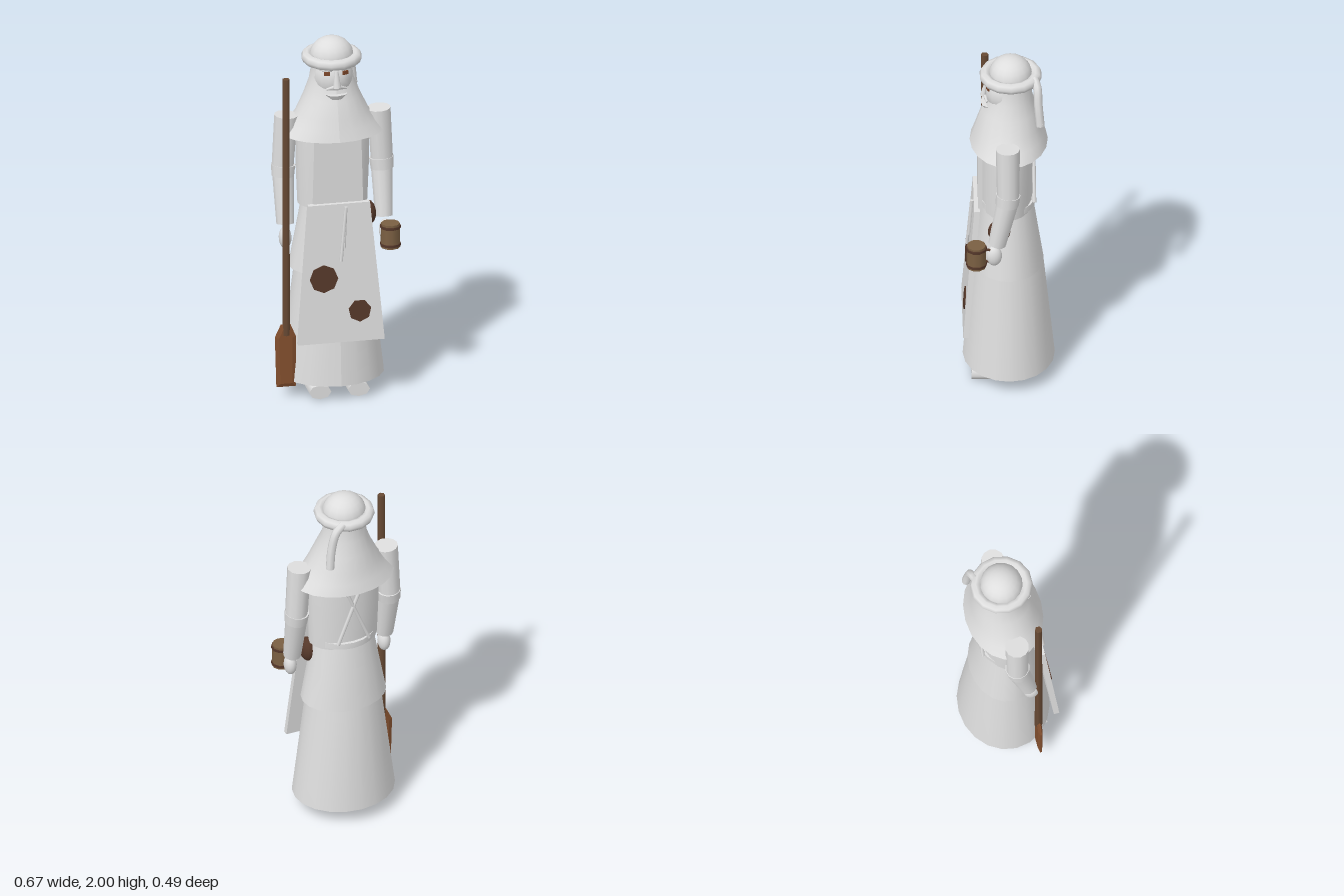
import * as THREE from 'three';

const mat = (name, color) => {
  const m = new THREE.MeshStandardMaterial({ color });
  m.name = name;
  return m;
};

export function createModel() {
  const model = new THREE.Group();
  const cloth = mat('pale cloth', 0xdedede);
  const stain = mat('dark brown', 0x55382a);
  const pole = mat('pole wood', 0x684a34);
  const bladeWood = mat('red brown wood', 0x84502f);
  const mugWood = mat('mug wood', 0x7a5f42);
  const eye = mat('eye brown', 0x7a4528);

  const add = (name, geo, material, x = 0, y = 0, z = 0) => {
    const m = new THREE.Mesh(geo, material);
    m.name = name;
    m.position.set(x, y, z);
    model.add(m);
    return m;
  };
  // Cylinder running from point a to point b
  const rod = (name, a, b, ra, rb, material = cloth, sides = 10) => {
    const p = new THREE.Vector3(...a), q = new THREE.Vector3(...b);
    const d = q.clone().sub(p);
    const m = add(name, new THREE.CylinderGeometry(rb, ra, d.length(), sides), material);
    m.position.copy(p).add(q).multiplyScalar(0.5);
    m.quaternion.setFromUnitVectors(new THREE.Vector3(0, 1, 0), d.normalize());
    return m;
  };
  const ball = (name, material, x, y, z, rx, ry, rz) => {
    const m = add(name, new THREE.SphereGeometry(1, 16, 12), material, x, y, z);
    m.scale.set(rx, ry, rz);
    return m;
  };
  // Closed elliptical loft through rings of [y, half width, half depth, z centre]
  const loft = (name, rings, material = cloth, sides = 20) => {
    const pos = [], idx = [];
    for (const [y, rx, rz, cz = 0] of rings)
      for (let i = 0; i <= sides; i++) {
        const t = (i / sides) * Math.PI * 2;
        pos.push(Math.sin(t) * rx, y, cz + Math.cos(t) * rz);
      }
    const w = sides + 1;
    for (let r = 0; r < rings.length - 1; r++)
      for (let i = 0; i < sides; i++) {
        const a = r * w + i, b = a + w;
        idx.push(a, a + 1, b + 1, a, b + 1, b);
      }
    // End caps with their own corners
    for (const r of [0, rings.length - 1]) {
      const [y, rx, rz, cz = 0] = rings[r], c = pos.length / 3;
      pos.push(0, y, cz);
      for (let i = 0; i <= sides; i++) {
        const t = (i / sides) * Math.PI * 2;
        pos.push(Math.sin(t) * rx, y, cz + Math.cos(t) * rz);
      }
      for (let i = 1; i <= sides; i++) idx.push(c, ...(r ? [c + i, c + i + 1] : [c + i + 1, c + i]));
    }
    const g = new THREE.BufferGeometry();
    g.setAttribute('position', new THREE.Float32BufferAttribute(pos, 3));
    g.setIndex(idx);
    g.computeVertexNormals();
    return add(name, g, material);
  };
  // Flat sheet whose width and z change from bottom to top
  const sheet = (name, y0, y1, w0, w1, z0, z1, depth) => {
    const g = new THREE.BoxGeometry(1, 1, depth).toNonIndexed();
    const p = g.attributes.position;
    for (let i = 0; i < p.count; i++) {
      const t = p.getY(i) + 0.5;
      p.setXYZ(i, p.getX(i) * (w0 + (w1 - w0) * t), y0 + (y1 - y0) * t, p.getZ(i) + z0 + (z1 - z0) * t);
    }
    g.computeVertexNormals();
    return add(name, g, cloth);
  };

  // Robe, tunic and belt
  loft('skirt', [[0.09, 0.28, 0.245], [0.7, 0.205, 0.19, 0.005], [1.1, 0.155, 0.135, 0.01]]);
  loft('tunicHem', [[0.705, 0.235, 0.186], [0.9, 0.2, 0.162, 0.005], [1.1, 0.165, 0.138, 0.01]]);
  loft('torso', [[1.07, 0.19, 0.135, 0.01], [1.3, 0.2, 0.137, 0.01], [1.5, 0.2, 0.137, 0.01]]);
  loft('belt', [[1.08, 0.172, 0.148, 0.005], [1.115, 0.172, 0.148, 0.005]]);

  // Apron with bib, ties and stains
  sheet('bib', 1.1, 1.49, 0.27, 0.25, 0.153, 0.153, 0.024);
  sheet('apron', 0.345, 1.115, 0.47, 0.335, 0.232, 0.172, 0.03);
  rod('apronTie', [0.035, 1.1, 0.195], [0.022, 0.87, 0.212], 0.009, 0.009, cloth, 6);
  rod('apronTie', [0.035, 1.1, 0.198], [0.003, 0.8, 0.222], 0.009, 0.009, cloth, 6);
  for (const [x, y, r, n] of [[-0.09, 0.705, 0.077, 8], [0.102, 0.515, 0.062, 7]]) {
    const z = 0.249 - (y - 0.345) * (0.06 / 0.77);
    const s = add('stain', new THREE.CylinderGeometry(r, r, 0.008, n), stain, x, y, z);
    s.rotation.x = Math.PI / 2 - 0.078;
  }
  for (const s of [-1, 1])
    rod('backStrap', [s * 0.09, 1.12, -0.135], [-s * 0.06, 1.5, -0.132], 0.01, 0.01, cloth, 6);

  // Shoulder cape rising into a hood
  loft('cape', [[1.475, 0.28, 0.208], [1.53, 0.235, 0.19], [1.59, 0.195, 0.172], [1.68, 0.152, 0.148, -0.005],
    [1.76, 0.122, 0.115, -0.012], [1.84, 0.108, 0.108, -0.01], [1.9, 0.105, 0.108, -0.01]]);

  // Head and face
  ball('head', cloth, 0, 1.79, 0.01, 0.108, 0.13, 0.115);
  ball('cap', cloth, 0, 1.895, -0.01, 0.118, 0.105, 0.115);
  const nose = rod('nose', [0, 1.76, 0.135], [0, 1.85, 0.118], 0.022, 0.01, cloth, 8);
  nose.scale.z = 0.8;
  for (const s of [-1, 1]) {
    add('eye', new THREE.BoxGeometry(0.032, 0.02, 0.009), eye, s * 0.05, 1.837, 0.112).rotation.y = s * 0.35;
    rod('eyebrow', [s * 0.025, 1.855, 0.113], [s * 0.085, 1.853, 0.088], 0.009, 0.006, cloth, 6);
    rod('moustache', [0, 1.768, 0.13], [s * 0.055, 1.75, 0.117], 0.013, 0.006, cloth, 6);
  }
  const beard = add('beard', new THREE.ConeGeometry(0.06, 0.07, 8), cloth, 0, 1.685, 0.115);
  beard.rotation.x = Math.PI;
  beard.scale.z = 0.6;

  // Rolled headband with a hanging tail
  const band = add('headband', new THREE.TorusGeometry(0.133, 0.03, 8, 14), cloth, 0, 1.888, -0.01);
  band.rotation.x = Math.PI / 2;
  band.scale.y = 1.03;
  const tail = new THREE.CatmullRomCurve3([[0.06, 1.9, -0.135], [0.105, 1.875, -0.15], [0.135, 1.78, -0.155], [0.15, 1.665, -0.165]]
    .map(p => new THREE.Vector3(...p)));
  add('headbandTail', new THREE.TubeGeometry(tail, 10, 0.023, 8), cloth);
  rod('tailEnd', [0.15, 1.66, -0.165], [0.149, 1.675, -0.164], 0.023, 0.023, cloth, 8);

  // Arms, hands and shoes
  for (const s of [-1, 1]) {
    rod('upperArm', [s * 0.27, 1.28, 0.008], [s * 0.252, 1.58, 0.01], 0.06, 0.064, cloth, 12);
    rod('rolledCuff', [s * 0.27, 1.235, 0.014], [s * 0.266, 1.295, 0.008], 0.062, 0.066, cloth, 12);
    rod('forearm', [s * 0.268, 0.98, 0.067], [s * 0.268, 1.25, 0.01], 0.048, 0.059, cloth, 12);
    ball('hand', cloth, s * 0.272, 0.905, 0.083, 0.034, 0.06, 0.042);
    rod('shoe', [s * 0.105, 0.043, -0.06], [s * 0.105, 0.047, 0.2], 0.04, 0.04, cloth, 8).scale.x = 1.5;
    rod('ankle', [s * 0.1, 0.04, 0.0], [s * 0.1, 0.14, 0.0], 0.05, 0.05, cloth, 8);
  }

  // Belt pouch
  ball('pouch', stain, 0.185, 1.0, 0.055, 0.042, 0.068, 0.06);

  // Mug with hoops and handle
  add('mug', new THREE.CylinderGeometry(0.05, 0.053, 0.135, 10), mugWood, 0.28, 0.9125, 0.178);
  for (const y of [0.862, 0.962])
    add('mugHoop', new THREE.CylinderGeometry(0.056, 0.056, 0.014, 10), stain, 0.28, y, 0.178);
  const handle = add('mugHandle', new THREE.TorusGeometry(0.038, 0.008, 6, 12), stain, 0.28, 0.912, 0.118);
  handle.rotation.y = Math.PI / 2;

  // Long paddle: hexagonal pole and flat blade with a ridged edge
  rod('paddlePole', [-0.275, 0.36, 0.122], [-0.275, 1.83, 0.122], 0.021, 0.02, pole, 6);
  const outline = new THREE.Shape([[-0.05, 0.065], [0.055, 0.065], [0.055, 0.35], [0.026, 0.42], [-0.026, 0.42], [-0.058, 0.35]]
    .map(p => new THREE.Vector2(...p)));
  add('paddleBlade', new THREE.ExtrudeGeometry(outline, {
    depth: 0.008, bevelEnabled: true, bevelSegments: 1, bevelThickness: 0.008, bevelSize: 0.02, bevelOffset: -0.02,
  }), bladeWood, -0.277, 0, 0.118);

  return model;
}
